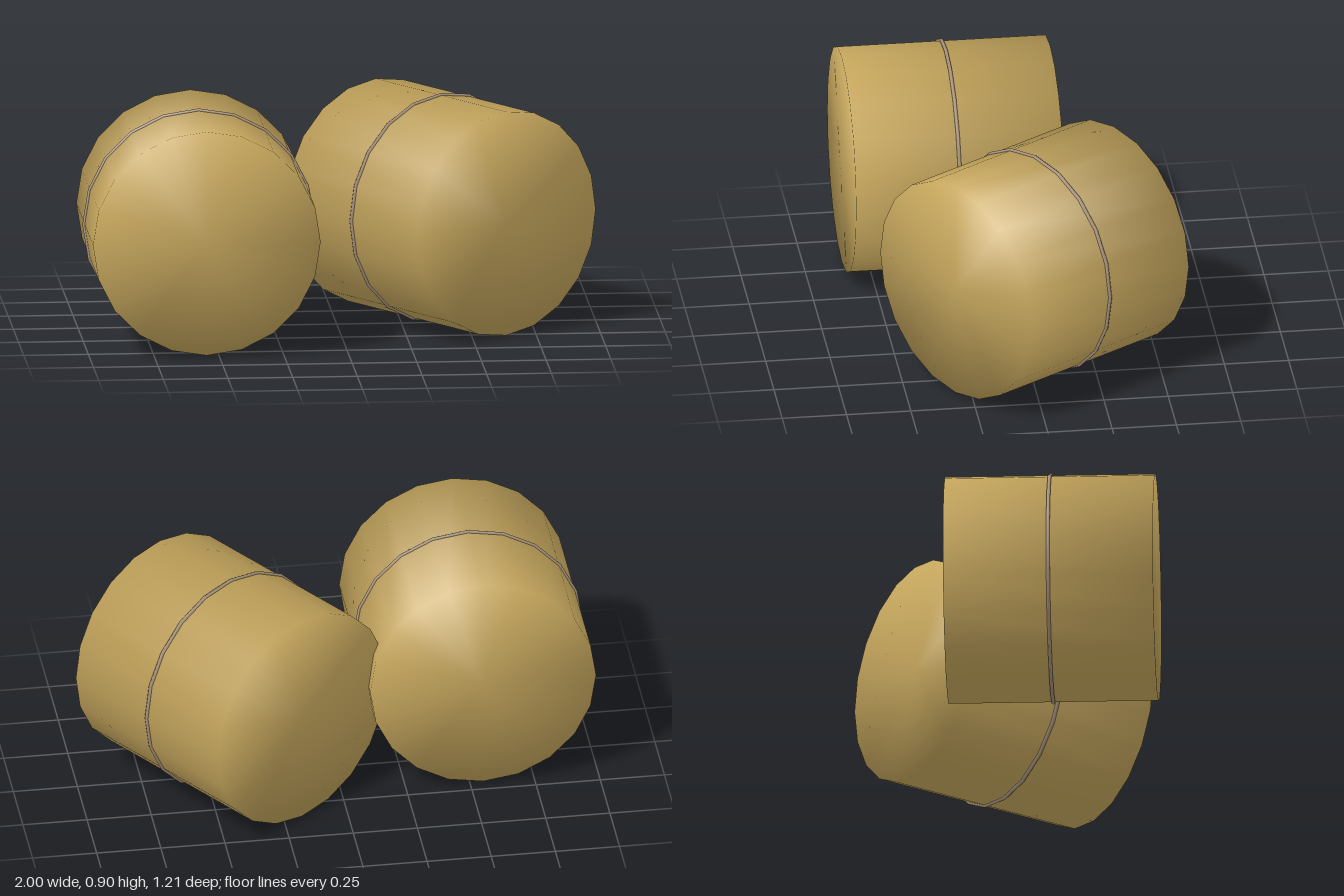
import * as THREE from 'three';

const RADIUS = 0.44, LENGTH = 0.81, SIDES = 20;

// Closed drum along z whose rim normals are shared by side and ends
function baleGeometry() {
  const geo = new THREE.CylinderGeometry(RADIUS, RADIUS, LENGTH, SIDES);
  const pos = geo.attributes.position, n = new THREE.Vector3();
  for (let i = 0; i < pos.count; i++) {
    n.set(pos.getX(i) / RADIUS, 0.9 * Math.sign(pos.getY(i)), pos.getZ(i) / RADIUS).normalize();
    geo.attributes.normal.setXYZ(i, n.x, n.y, n.z);
  }
  return geo.rotateX(Math.PI / 2);
}

export function createModel() {
  const straw = new THREE.MeshStandardMaterial({ name: 'straw', color: 0xc4a55c });
  const twine = new THREE.MeshStandardMaterial({ name: 'twine', color: 0xa8937a });
  const bodyGeo = baleGeometry();
  const twineGeo = new THREE.TorusGeometry(RADIUS + 0.001, 0.008, 6, SIDES);

  const model = new THREE.Group();
  model.name = 'hayBales';

  // One round bale with a loop of twine around its middle
  function addBale(name, x, z, turn) {
    const bale = new THREE.Group();
    bale.name = name;
    const body = new THREE.Mesh(bodyGeo, straw);
    body.name = 'baleBody';
    const loop = new THREE.Mesh(twineGeo, twine);
    loop.name = 'twineLoop';
    bale.add(body, loop);
    bale.position.set(x, 0.45, z);
    bale.rotation.y = turn;
    model.add(bale);
  }

  addBale('rightBale', -0.55, 0.197, 0);
  addBale('leftBale', 0.405, -0.025, 0.592);
  return model;
}
